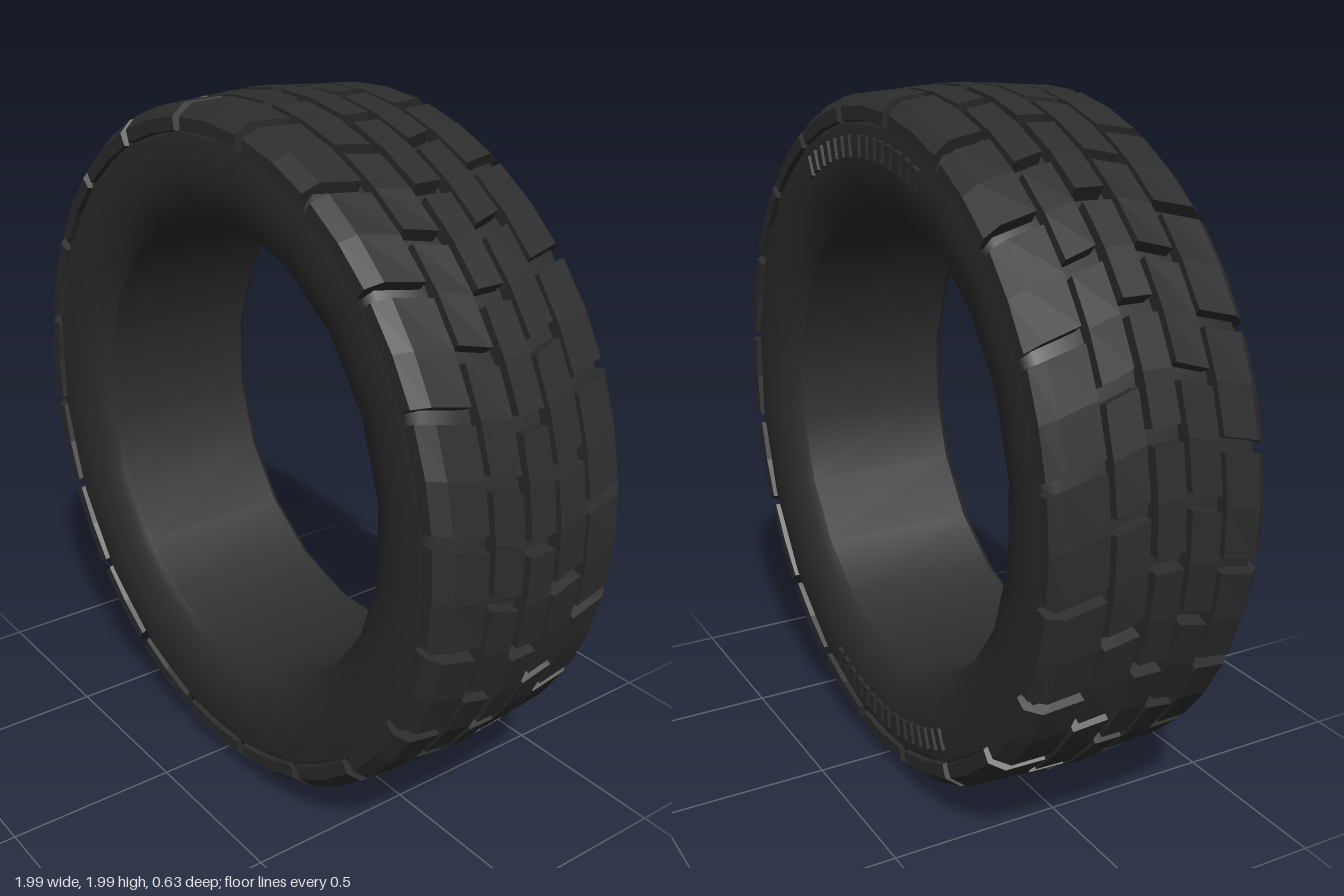
import * as THREE from 'three';
import { mergeGeometries } from 'three/addons/utils/BufferGeometryUtils.js';

const COUNT = 20;
const STEP = (Math.PI * 2) / COUNT;
const RAD = Math.PI / 180;

const rubber = new THREE.MeshStandardMaterial({ color: 0x2d2d2d });
rubber.name = 'black rubber';
const metal = new THREE.MeshStandardMaterial({ color: 0x8c8c90 });
metal.name = 'stud metal';

// Ring swept from [radius, z] points around the wheel axis
function ring(name, points) {
  const profile = points.map(([r, z]) => new THREE.Vector2(r, z));
  const geo = new THREE.LatheGeometry(profile, COUNT, STEP / 2);
  geo.rotateX(Math.PI / 2);
  const mesh = new THREE.Mesh(geo, rubber);
  mesh.name = name;
  return mesh;
}

// Tread block: [z, radius] section bent along the circumference.
// slant shifts the inner edge ahead of the outer edge (radians per unit of z).
function treadBlock(section, side, centre, width, slant, zMid) {
  const shape = new THREE.Shape(section.map(([z, r]) => new THREE.Vector2(z * side, r)));
  const geo = new THREE.ExtrudeGeometry(shape, { depth: width, steps: 2, bevelEnabled: false });
  const p = geo.attributes.position;
  for (let i = 0; i < p.count; i++) {
    const z = p.getX(i), r = p.getY(i);
    const taper = 1 - (r - 0.93) * 0.5;
    const a = centre - (p.getZ(i) - width / 2) * taper - (Math.abs(z) - zMid) * slant;
    p.setXYZ(i, r * Math.sin(a), r * Math.cos(a), z);
  }
  geo.computeVertexNormals();
  return geo;
}

// Small metal pin pointing outwards from the tread
function stud(angle, r, z) {
  const geo = new THREE.CylinderGeometry(0.005, 0.007, 0.012, 6);
  geo.translate(0, r, 0);
  geo.rotateZ(-angle);
  geo.translate(0, 0, z);
  return geo;
}

const shoulder = [[0.168, 0.93], [0.168, 0.984], [0.275, 0.977], [0.312, 0.945], [0.312, 0.908], [0.285, 0.9]];
const middle = [[0.06, 0.93], [0.06, 0.991], [0.152, 0.986], [0.152, 0.93]];
const centreRib = [[-0.041, 0.93], [-0.041, 0.994], [0.041, 0.994], [0.041, 0.93]];

const rows = [
  { name: 'leftShoulderBlocks', section: shoulder, side: 1, offset: 2.4, width: 16, slant: 0.25, zMid: 0.24, studAt: [0.979, 0.22] },
  { name: 'rightShoulderBlocks', section: shoulder, side: -1, offset: 2.4, width: 16, slant: 0.25, zMid: 0.24, studAt: [0.979, 0.22] },
  { name: 'frontMiddleBlocks', section: middle, side: 1, offset: 13.8, width: 16, slant: 0.3, zMid: 0.105 },
  { name: 'backMiddleBlocks', section: middle, side: -1, offset: 13.8, width: 16, slant: 0.3, zMid: 0.105 },
  { name: 'centreBlocks', section: centreRib, side: 1, offset: 6.3, width: 16, slant: 0, zMid: 0, studAt: [0.992, 0] },
];
rows[0].name = 'frontShoulderBlocks';
rows[1].name = 'backShoulderBlocks';

export function createModel() {
  const tyre = new THREE.Group();
  tyre.name = 'studdedTyre';

  // Carcass: tread base, two rounded sidewalls and the inner bore
  const wall = [[0.905, 0.3], [0.85, 0.306], [0.79, 0.302], [0.735, 0.288], [0.698, 0.268], [0.677, 0.245]];
  tyre.add(ring('treadBase', [[0.905, -0.3], [0.945, -0.285], [0.958, -0.16], [0.962, 0], [0.958, 0.16], [0.945, 0.285], [0.905, 0.3]]));
  tyre.add(ring('frontSidewall', wall));
  tyre.add(ring('backSidewall', wall.map(([r, z]) => [r, -z]).reverse()));
  tyre.add(ring('innerBore', [[0.677, 0.245], [0.677, -0.245]]));

  // Tread rows and their studs
  const studs = [];
  for (const row of rows) {
    const blocks = [];
    for (let i = 0; i < COUNT; i++) {
      const angle = row.offset * RAD + i * STEP;
      blocks.push(treadBlock(row.section, row.side, angle, row.width * RAD, row.slant, row.zMid));
      if (row.studAt) studs.push(stud(angle, row.studAt[0] - 0.006, row.studAt[1] * row.side));
    }
    const mesh = new THREE.Mesh(mergeGeometries(blocks), rubber);
    mesh.name = row.name;
    tyre.add(mesh);
  }
  const studMesh = new THREE.Mesh(mergeGeometries(studs), metal);
  studMesh.name = 'studs';
  tyre.add(studMesh);

  // Raised radial ribs on the back sidewall, repeated at top and bottom
  const ribs = [];
  for (const half of [0, Math.PI]) {
    for (const [start, count] of [[28, 7], [4, 5], [-13, 3]]) {
      for (let i = 0; i < count; i++) {
        const geo = new THREE.BoxGeometry(0.028, 0.06, 0.02);
        geo.translate(0, 0.838, -0.304);
        geo.rotateZ(-(start - i * 3.3) * RAD - half);
        ribs.push(geo);
      }
    }
  }
  const ribMesh = new THREE.Mesh(mergeGeometries(ribs), rubber);
  ribMesh.name = 'sidewallRibs';
  tyre.add(ribMesh);

  tyre.position.y = 1;
  const model = new THREE.Group();
  model.name = 'tyre';
  model.add(tyre);
  return model;
}
